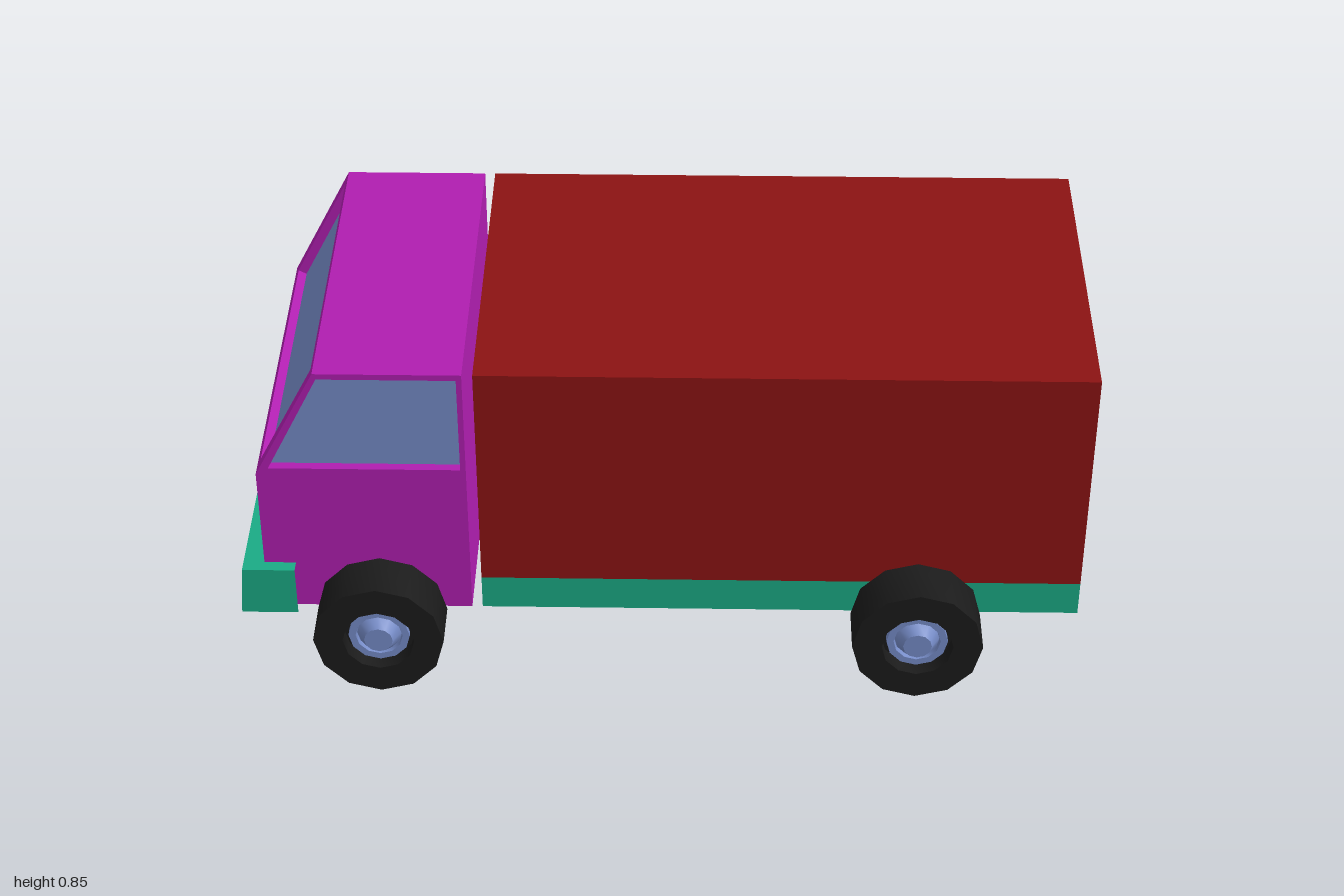
import * as THREE from 'three';
import { toCreasedNormals } from 'three/addons/utils/BufferGeometryUtils.js';

const paint = (color) => new THREE.MeshStandardMaterial({ color, side: THREE.DoubleSide });
const red = paint(0x8c1313), purple = paint(0xb01eb0), green = paint(0x1aab85);
const glass = paint(0x768cc8), rubber = paint(0x1a1a1a);

function add(parent, name, geometry, material) {
  const mesh = new THREE.Mesh(geometry, material);
  mesh.name = name;
  parent.add(mesh);
  return mesh;
}

// Box between two corners, leaving out faces (0..5 = +x -x +y -y +z -z)
function openBox(min, max, omit) {
  const size = max.map((v, i) => v - min[i]);
  const g = new THREE.BoxGeometry(...size);
  g.translate(...max.map((v, i) => (v + min[i]) / 2));
  const index = Array.from(g.index.array);
  g.setIndex(index.filter((_, i) => !omit.includes(Math.floor(i / 6))));
  g.clearGroups();
  return g;
}

const toShape = (pts) => new THREE.Shape(pts.map(([x, y]) => new THREE.Vector2(x, y)));

// Wall in the xy plane facing +z, with a recessed window pane
function windowWall(name, outline, opening, depth) {
  const group = new THREE.Group();
  group.name = name;
  const shape = toShape(outline);
  shape.holes.push(toShape(opening));
  add(group, name + 'Panel', new THREE.ShapeGeometry(shape), purple);
  const pane = new THREE.ShapeGeometry(toShape(opening)).translate(0, 0, -depth);
  add(group, name + 'Glass', pane, glass);
  // Reveal around the opening
  const pos = [];
  opening.forEach(([x, y], i) => {
    const [u, v] = opening[(i + 1) % opening.length];
    pos.push(x, y, 0, x, y, -depth, u, v, -depth, x, y, 0, u, v, -depth, u, v, 0);
  });
  const reveal = new THREE.BufferGeometry();
  reveal.setAttribute('position', new THREE.Float32BufferAttribute(pos, 3));
  reveal.computeVertexNormals();
  add(group, name + 'Reveal', reveal, purple);
  return group;
}

function latheZ(points) {
  const pts = points.map(([r, h]) => new THREE.Vector2(r, h));
  return toCreasedNormals(new THREE.LatheGeometry(pts, 12).rotateX(Math.PI / 2), 0.6);
}

function createCab() {
  const cab = new THREE.Group();
  cab.name = 'cab';
  const W = 0.427;
  const outline = [[-0.94, 0.16], [-0.45, 0.16], [-0.45, 0.845], [-0.79, 0.845], [-0.94, 0.555]];
  const opening = [[-0.91, 0.573], [-0.463, 0.573], [-0.463, 0.83], [-0.782, 0.83]];

  // Doors with side windows
  const left = windowWall('leftDoor', outline, opening, 0.022);
  left.position.z = W;
  const mirror = (pts) => pts.map(([x, y]) => [-x, y]).reverse();
  const right = windowWall('rightDoor', mirror(outline), mirror(opening), 0.022);
  right.position.z = -W;
  right.rotation.y = Math.PI;
  cab.add(left, right);

  // Sloping windscreen
  const run = 0.15, rise = 0.29, len = Math.hypot(run, rise);
  const rect = (w, a, b) => [[-w, a], [w, a], [w, b], [-w, b]];
  const screen = windowWall('windscreen', rect(W, 0, len), rect(0.39, 0.02, len - 0.015), 0.022);
  screen.position.set(-0.94, 0.555, 0);
  screen.rotation.set(-Math.atan2(run, rise), -Math.PI / 2, 0, 'YXZ');
  cab.add(screen);

  // Plain panels, open underneath
  add(cab, 'cabNose', openBox([-0.94, 0.16, -W], [-0.45, 0.555, W], [0, 2, 3, 4, 5]), purple);
  add(cab, 'cabRoof', openBox([-0.79, 0.16, -W], [-0.45, 0.845, W], [1, 3, 4, 5]), purple);
  return cab;
}

function createWheel(x, side) {
  const wheel = new THREE.Group();
  wheel.name = (x < 0 ? 'front' : 'rear') + (side > 0 ? 'Left' : 'Right') + 'Wheel';
  add(wheel, 'tyre', latheZ([[0, 0], [0.155, 0], [0.155, 0.12], [0.085, 0.12], [0.085, 0.08], [0, 0.08]]), rubber);
  add(wheel, 'hub', latheZ([[0.073, 0.08], [0.073, 0.1], [0.056, 0.1], [0.054, 0.088],
    [0.053, 0.088], [0.034, 0.118], [0, 0.118]]), glass);
  wheel.position.set(x, 0.155, side * 0.432);
  if (side < 0) wheel.rotation.y = Math.PI;
  return wheel;
}

export function createModel() {
  const truck = new THREE.Group();
  truck.name = 'truck';

  // Cargo box standing on a hollow tray
  add(truck, 'cargoBox', openBox([-0.425, 0.25, -0.427], [1, 0.845, 0.427], [3]), red);
  add(truck, 'chassisTray', openBox([-0.425, 0.16, -0.427], [1, 0.25, 0.427], [3]), green);
  truck.add(createCab());

  // Bumper shell, open behind and below, its face leaning back slightly
  const bumper = openBox([-1, 0.16, -0.457], [-0.865, 0.29, 0.457], [0, 3]);
  const p = bumper.attributes.position;
  for (let i = 0; i < p.count; i++) {
    if (p.getX(i) < -0.95 && p.getY(i) > 0.2) p.setX(i, -0.99);
  }
  bumper.computeVertexNormals();
  add(truck, 'bumper', bumper, green);

  for (const x of [-0.665, 0.612]) {
    for (const side of [1, -1]) truck.add(createWheel(x, side));
  }
  return truck;
}
